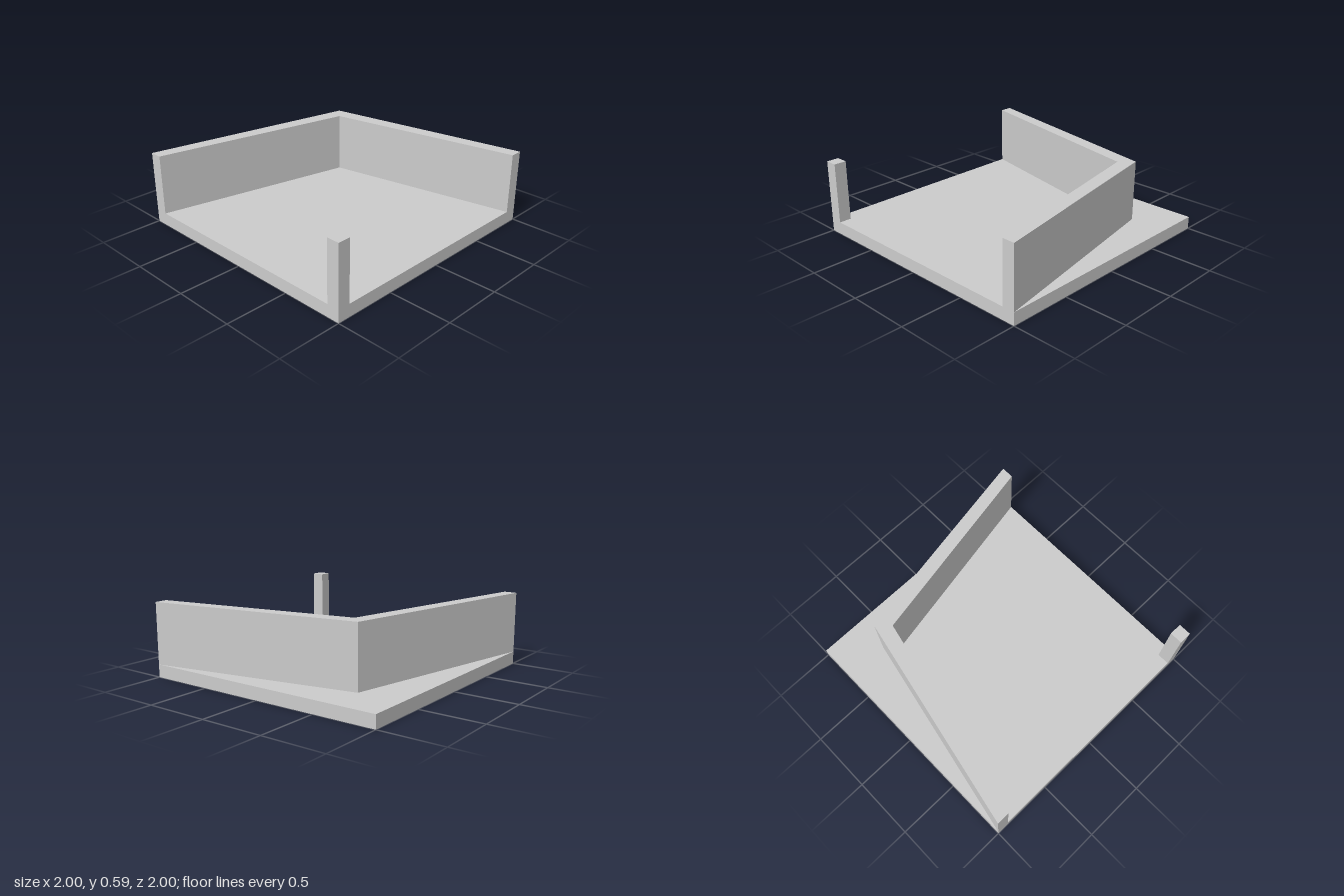
import * as THREE from 'three';

const BASE_TOP = 0.1, WALL_TOP = 0.585;

export function createModel() {
  const group = new THREE.Group();
  const material = new THREE.MeshStandardMaterial({ color: 0xcccccc });

  // Extrudes a floor-plan outline of [x, z] points upward from y0 to y1
  const addPlan = (name, points, y0, y1) => {
    const shape = new THREE.Shape(points.map(([x, z]) => new THREE.Vector2(x, -z)));
    const geometry = new THREE.ExtrudeGeometry(shape, { depth: y1 - y0, bevelEnabled: false });
    geometry.rotateX(-Math.PI / 2).translate(0, y0, 0);
    const mesh = new THREE.Mesh(geometry, material);
    mesh.name = name;
    group.add(mesh);
  };

  // Square floor slab
  addPlan('floorSlab', [[-1, -1], [-1, 1], [1, 1], [1, -1]], 0, BASE_TOP);

  // Bent wall along the back and left side, meeting at an inset corner
  addPlan('bentWall', [[-1, -1], [-1, -0.9], [0.6, -0.55], [0.9, 1], [1, 1], [0.7, -0.65]], BASE_TOP, WALL_TOP);

  // Free-standing post in the front right corner
  addPlan('cornerPost', [[-1, 0.9], [-1, 1], [-0.9, 1], [-0.9, 0.9]], BASE_TOP, WALL_TOP);

  return group;
}
